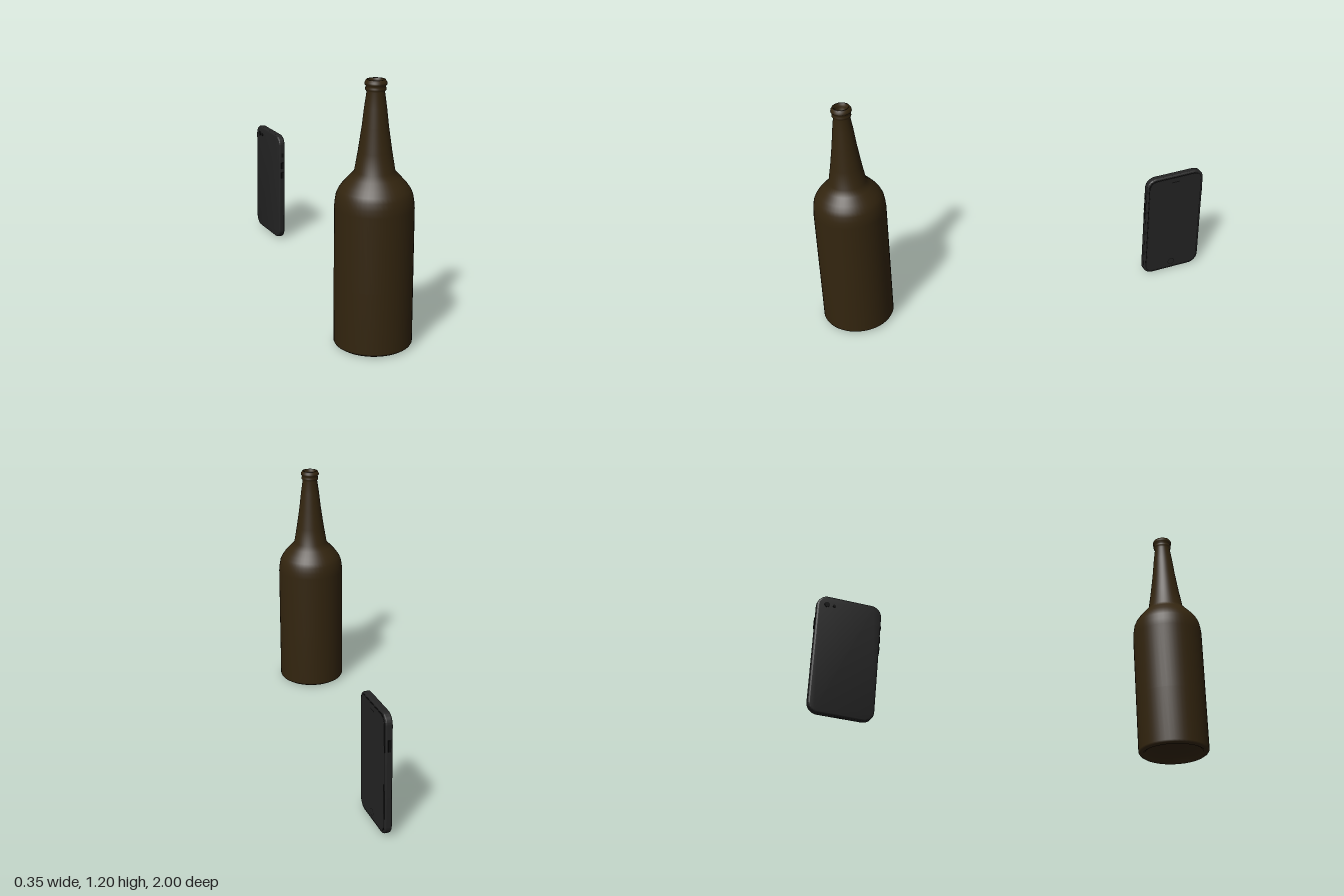
import * as THREE from 'three';
import { toCreasedNormals } from 'three/addons/utils/BufferGeometryUtils.js';

function material(name, color, side = THREE.FrontSide) {
  const m = new THREE.MeshStandardMaterial({ color, side });
  m.name = name;
  return m;
}

function roundedRect(w, h, r, Type = THREE.Shape) {
  const s = new Type();
  const x = w / 2, y = h / 2;
  s.moveTo(-x + r, -y);
  s.lineTo(x - r, -y);
  s.absarc(x - r, -y + r, r, -Math.PI / 2, 0);
  s.lineTo(x, y - r);
  s.absarc(x - r, y - r, r, 0, Math.PI / 2);
  s.lineTo(-x + r, y);
  s.absarc(-x + r, y - r, r, Math.PI / 2, Math.PI);
  s.lineTo(-x, -y + r);
  s.absarc(-x + r, -y + r, r, Math.PI, Math.PI * 1.5);
  return s;
}

export function createModel() {
  const glassBrown = material('brown glass', 0x33250f, THREE.DoubleSide);
  const bodyBlack = material('phone black', 0x242424);
  const trimBlack = material('dark trim', 0x101010);

  const model = new THREE.Group();
  const add = (parent, name, geometry, mat, x = 0, y = 0, z = 0) => {
    const mesh = new THREE.Mesh(geometry, mat);
    mesh.name = name;
    mesh.position.set(x, y, z);
    parent.add(mesh);
    return mesh;
  };

  // Bottle: hollow underside, straight body, shoulder, tapering neck, ringed lip and mouth
  const profile = [
    [0, 0.07], [0.08, 0.06], [0.135, 0.035], [0.145, 0.012], [0.158, 0.005],
    [0.17, 0.013], [0.175, 0.022], [0.175, 0.3], [0.175, 0.64], [0.172, 0.67],
    [0.167, 0.70], [0.157, 0.722], [0.141, 0.745], [0.113, 0.776], [0.089, 0.802],
    [0.074, 0.89], [0.058, 1.0], [0.049, 1.08], [0.039, 1.15],
    [0.045, 1.158], [0.045, 1.166], [0.041, 1.174], [0.049, 1.182], [0.048, 1.19],
    [0.041, 1.202], [0.034, 1.202], [0.03, 1.185], [0.027, 1.15], [0, 1.14],
  ].map(([r, y]) => new THREE.Vector2(r, y));
  add(model, 'bottle', new THREE.LatheGeometry(profile, 48), glassBrown, 0, 0, 0.825);

  // Phone: modelled upright facing +z, then turned to face +x
  const phone = new THREE.Group();
  phone.name = 'phone';
  const W = 0.318, H = 0.59, bevel = 0.008, T = 0.034;
  const bodyGeo = new THREE.ExtrudeGeometry(
    roundedRect(W - 2 * bevel, H - 2 * bevel, 0.045),
    { depth: T - 2 * bevel, bevelEnabled: true, bevelSize: bevel, bevelThickness: bevel, bevelSegments: 3, curveSegments: 8 });
  bodyGeo.translate(0, 0, -T / 2 + bevel);
  add(phone, 'phoneBody', toCreasedNormals(bodyGeo, 0.6), bodyBlack);

  // Front glass with a thin dark seam around it
  const plate = (shape, depth) => new THREE.ExtrudeGeometry(shape, { depth, bevelEnabled: false, curveSegments: 8 });
  const seam = roundedRect(W - 0.022, H - 0.022, 0.042);
  seam.holes.push(roundedRect(W - 0.03, H - 0.03, 0.038, THREE.Path));
  add(phone, 'screenSeam', plate(seam, 0.001), trimBlack, 0, 0, T / 2);
  add(phone, 'frontGlass', plate(roundedRect(W - 0.03, H - 0.03, 0.038), 0.002), bodyBlack, 0, 0, T / 2);

  // Home button ring and ear speaker
  const front = T / 2 + 0.003;
  add(phone, 'homeButton', new THREE.RingGeometry(0.016, 0.019, 24), trimBlack, 0, -0.25, front);
  add(phone, 'earSpeaker', new THREE.ShapeGeometry(roundedRect(0.045, 0.006, 0.003)), trimBlack, 0, 0.255, front);

  // Rear camera and flash
  for (const [name, x, r] of [['rearCamera', 0.112, 0.013], ['flash', 0.077, 0.007]]) {
    const lens = add(phone, name, new THREE.CylinderGeometry(r, r, 0.004, 20), trimBlack, x, 0.25, -T / 2 - 0.001);
    lens.rotation.x = Math.PI / 2;
  }

  // Side buttons: mute and volume on one edge, power on the other
  for (const [name, side, y, h] of [
    ['muteSwitch', -1, 0.19, 0.022], ['volumeUp', -1, 0.13, 0.035],
    ['volumeDown', -1, 0.075, 0.035], ['powerButton', 1, 0.15, 0.055],
  ]) {
    add(phone, name, new THREE.BoxGeometry(0.008, h, 0.012), trimBlack, side * W / 2, y, 0);
  }

  // Charging port
  add(phone, 'chargingPort', new THREE.BoxGeometry(0.04, 0.002, 0.01), trimBlack, 0, -H / 2, 0);

  phone.position.set(-0.002, 0.303, -0.832);
  phone.rotation.set(0, Math.PI / 2 + 0.136, 0.02);
  model.add(phone);

  return model;
}
